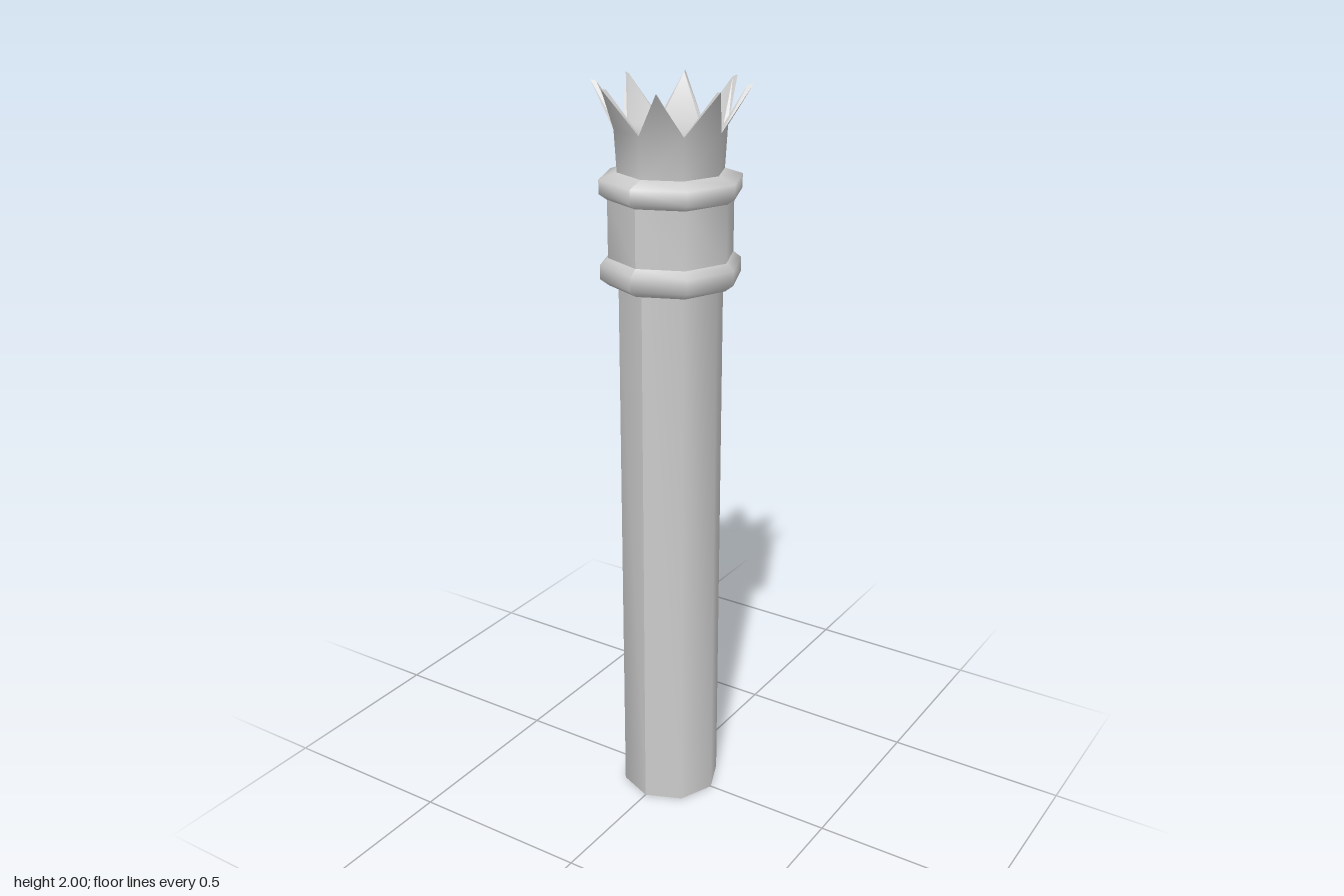
import * as THREE from 'three';
import { mergeVertices } from 'three/addons/utils/BufferGeometryUtils.js';

const SIDES = 8;
const STEP = (Math.PI * 2) / SIDES;
const grey = new THREE.MeshStandardMaterial({ color: 0xcccccc, side: THREE.DoubleSide });

// Eight-sided turned part from [radius, height] pairs, listed bottom to top
function turned(name, profile) {
  const points = profile.map(([r, y]) => new THREE.Vector2(r, y));
  const geo = new THREE.LatheGeometry(points, SIDES);
  geo.computeVertexNormals(); // leaves a visible seam at the front corner
  const mesh = new THREE.Mesh(geo, grey);
  mesh.name = name;
  return mesh;
}

// Point at radius r, height y; steps counts corners round from the front
const at = (steps, [r, y]) =>
  new THREE.Vector3(r * Math.sin(steps * STEP), y, r * Math.cos(steps * STEP));

function surface(name, triangles, smooth) {
  let geo = new THREE.BufferGeometry().setFromPoints(triangles);
  if (smooth) geo = mergeVertices(geo, 1e-5);
  geo.computeVertexNormals();
  const mesh = new THREE.Mesh(geo, grey);
  mesh.name = name;
  return mesh;
}

// Flared crown of eight points, with an outer wall, shallow bowl inside and thin rim
function crown() {
  const base = [0.137, 1.775];
  const outer = { valley: [0.144, 1.89], tip: [0.202, 2.0] };
  const inner = { valley: [0.131, 1.885], tip: [0.187, 1.997] };
  const outside = [], inside = [], rim = [];
  const centre = new THREE.Vector3(0, 1.865, 0);

  for (let i = 0; i < SIDES; i++) {
    const point = ({ valley, tip }) => [at(i, valley), at(i + 0.5, tip), at(i + 1, valley)];
    const a = at(i, base), b = at(i + 1, base);
    const [d, t, c] = point(outer);
    const [id, it, ic] = point(inner);
    outside.push(a, b, c, a, c, d, d, c, t);
    inside.push(centre, id, ic, id, it, ic);
    rim.push(d, t, it, d, it, id, t, c, ic, t, ic, it);
  }

  const group = new THREE.Group();
  group.name = 'crown';
  group.add(
    surface('crownOutside', outside, true),
    surface('crownBowl', inside, true),
    surface('crownRim', rim, false),
  );
  return group;
}

export function createModel() {
  const model = new THREE.Group();
  model.name = 'crownedColumn';

  // Hollow shaft, open at the foot
  model.add(turned('shaft', [[0.137, 0], [0.137, 1.51]]));

  // Collar band between two bevelled rings
  model.add(turned('collarBand', [[0.163, 1.56], [0.163, 1.73]]));
  model.add(turned('lowerRing', [
    [0.137, 1.498], [0.16, 1.498], [0.184, 1.516], [0.184, 1.553], [0.163, 1.57],
  ]));
  model.add(turned('upperRing', [
    [0.163, 1.718], [0.184, 1.733], [0.184, 1.769], [0.137, 1.785],
  ]));

  model.add(crown());
  return model;
}
